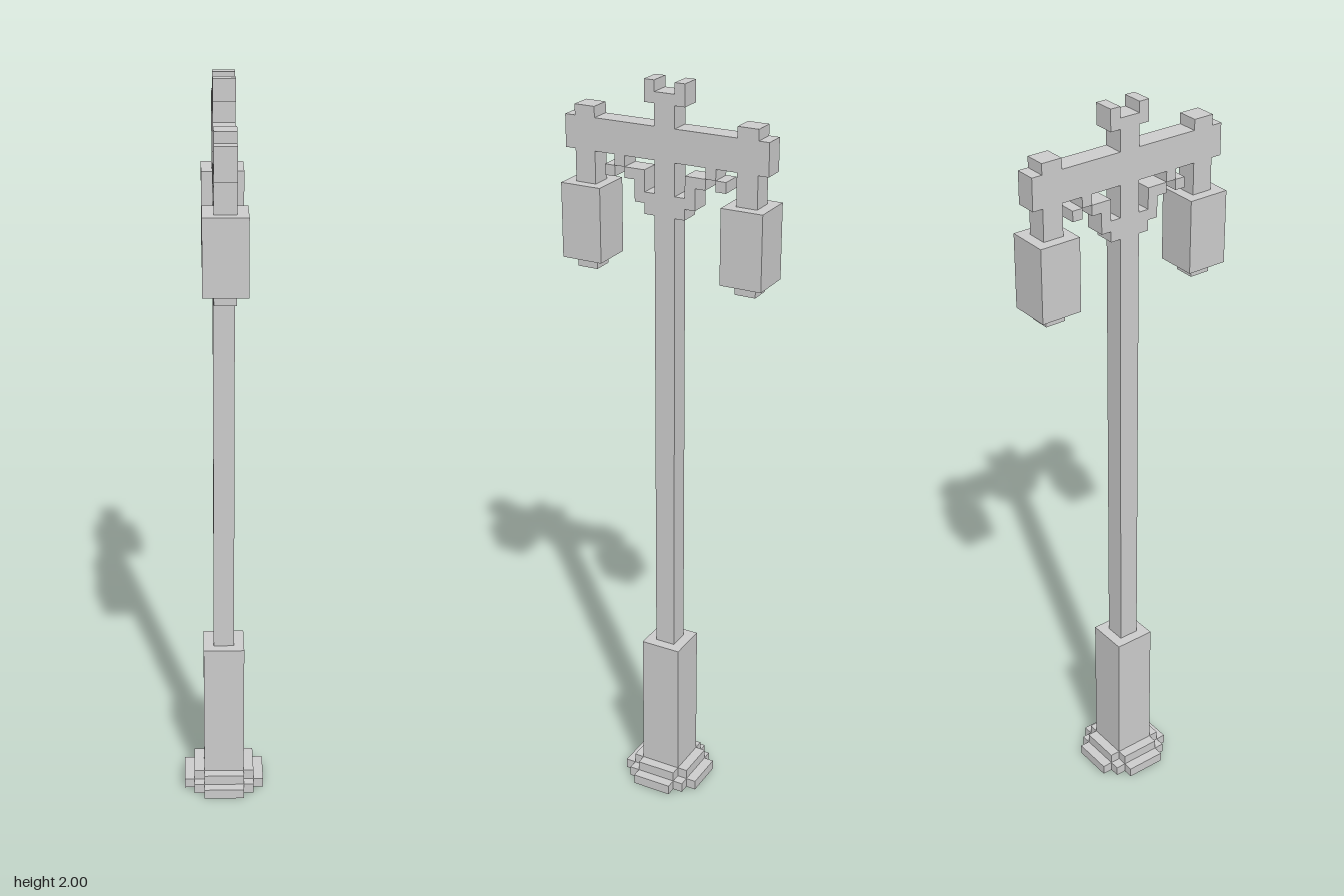
import * as THREE from 'three';

const U = 1 / 36; // one block of the grid the lamp post is built on
const material = new THREE.MeshStandardMaterial({ color: 0xcccccc, flatShading: true });

// Box from its ranges in blocks, centred on x = 0
function block(name, halfX, y0, y1, z0, z1) {
  const geo = new THREE.BoxGeometry(2 * halfX * U, (y1 - y0) * U, (z1 - z0) * U);
  const mesh = new THREE.Mesh(geo, material);
  mesh.position.set(0, ((y0 + y1) / 2) * U, ((z0 + z1) / 2) * U);
  mesh.name = name;
  return mesh;
}

// Stepped round slab: one quadrant outline turned four times
function steppedSlab(name, quadrant, y0, y1) {
  const points = [];
  for (let i = 0; i < 4; i++) {
    for (const [x, y] of quadrant) {
      const p = new THREE.Vector2(x * U, y * U);
      points.push(p.rotateAround(new THREE.Vector2(), (i * Math.PI) / 2));
    }
  }
  const geo = new THREE.ExtrudeGeometry(new THREE.Shape(points), {
    depth: (y1 - y0) * U, bevelEnabled: false,
  });
  geo.rotateX(-Math.PI / 2);
  const mesh = new THREE.Mesh(geo, material);
  mesh.position.y = y0 * U;
  mesh.name = name;
  return mesh;
}

// Cross arm with its lantern, bracket and finial, reaching toward +z
function createArm(name) {
  const arm = new THREE.Group();
  arm.name = name;
  arm.add(
    block('crossBeam', 1, 65, 68, 1, 10),
    block('beamCap', 1, 68, 69, 7, 9),
    block('lanternHanger', 1, 62, 65, 7, 9),
    block('lantern', 2, 55, 62, 6, 10),
    block('lanternTip', 1, 54, 55, 7, 9),
    block('finialProng', 1, 70, 72, 1, 2),
  );
  // Stepped scroll bracket: [y0, y1, z0, z1]
  const scroll = [
    [60, 62, 1, 2], [61, 63, 2, 3], [63, 64, 2, 4], [64, 65, 4, 5], [63, 64, 5, 6],
  ];
  for (const range of scroll) arm.add(block('scrollBracket', 1, ...range));
  return arm;
}

export function createModel() {
  const model = new THREE.Group();
  model.name = 'lampPost';

  // Foot and pedestal
  model.add(
    steppedSlab('lowerFoot', [[4, -2], [4, 2], [3, 2], [3, 3], [2, 3]], 0, 1),
    steppedSlab('upperFoot', [[3, -2], [3, 2], [2, 2]], 1, 2),
    block('pedestal', 2, 2, 16, -2, 2),
  );

  // Pole
  model.add(block('pole', 1, 16, 71, -1, 1));

  // Two opposite arms
  const frontArm = createArm('frontArm');
  const backArm = createArm('backArm');
  backArm.rotation.y = Math.PI;
  model.add(frontArm, backArm);

  return model;
}
